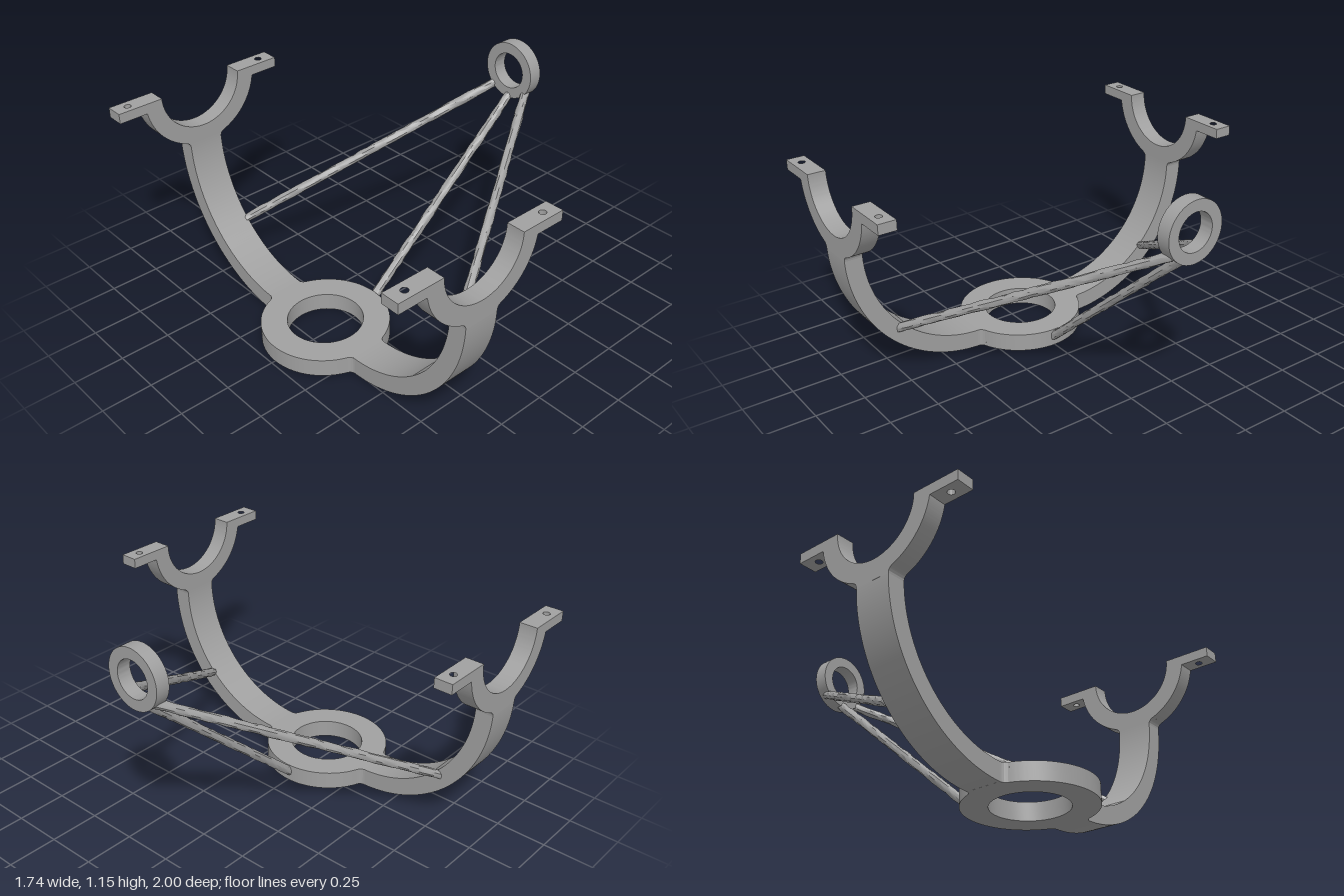
import * as THREE from 'three';
import { toCreasedNormals } from 'three/addons/utils/BufferGeometryUtils.js';

const metal = new THREE.MeshStandardMaterial({ color: 0xa0a0a0 });
metal.name = 'grey metal';

const R = 0.31;                     // outer radius shared by base ring and saddles
const HALF = 0.09;                  // half width of an arm, also the wall thickness
const FILLET = Math.acos(0.115 / R); // where the ring begins to blend into an arm

function extrude(shape, depth) {
  const g = new THREE.ExtrudeGeometry(shape, { depth, bevelEnabled: false, curveSegments: 40 });
  return toCreasedNormals(g, 0.5);
}

function addMesh(parent, name, geometry) {
  const mesh = new THREE.Mesh(geometry, metal);
  mesh.name = name;
  parent.add(mesh);
  return mesh;
}

function circleHole(x, y, r) {
  return new THREE.Path().absarc(x, y, r, 0, Math.PI * 2, true);
}

// Flat ring with small fillets towards both arms
function baseRing() {
  const s = new THREE.Shape();
  s.absarc(0, 0, R, -FILLET, FILLET, false);
  s.quadraticCurveTo(HALF, 0.297, HALF, 0.32);
  s.lineTo(-HALF, 0.32);
  s.quadraticCurveTo(-HALF, 0.297, -0.115, 0.288);
  s.absarc(0, 0, R, Math.PI - FILLET, Math.PI + FILLET, false);
  s.quadraticCurveTo(-HALF, -0.297, -HALF, -0.32);
  s.lineTo(HALF, -0.32);
  s.quadraticCurveTo(HALF, -0.297, 0.115, -0.288);
  s.holes.push(circleHole(0, 0, 0.183));
  return extrude(s, 0.09).rotateX(-Math.PI / 2);
}

// Quarter-circle arm, drawn in z and y, extruded along x
function curvedArm() {
  const s = new THREE.Shape();
  s.moveTo(0.29, 0);
  s.absarc(0.3, 0.7, 0.7, -Math.PI / 2, 0, false);
  s.lineTo(1, 0.705);
  s.lineTo(0.91, 0.705);
  s.absarc(0.3, 0.7, 0.61, 0, -Math.PI / 2, true);
  s.lineTo(0.29, 0.09);
  return extrude(s, HALF * 2).rotateY(-Math.PI / 2).translate(HALF, 0, 0);
}

// Half-ring saddle with a filleted foot
function saddle() {
  const s = new THREE.Shape();
  s.absarc(0, 0, R, 0, -FILLET, true);
  s.quadraticCurveTo(HALF, -0.297, HALF, -0.32);
  s.lineTo(-HALF, -0.32);
  s.quadraticCurveTo(-HALF, -0.297, -0.115, -0.288);
  s.absarc(0, 0, R, FILLET - Math.PI, -Math.PI, true);
  s.lineTo(-0.22, 0);
  s.absarc(0, 0, 0.22, Math.PI, Math.PI * 2, false);
  return extrude(s, 0.09).translate(0, 1, 0.91);
}

// Mounting ear with a vertical bolt hole
function ear(side) {
  const s = new THREE.Shape();
  s.moveTo(side * 0.28, -0.045);
  s.lineTo(side * 0.453, -0.045);
  s.lineTo(side * 0.453, 0.045);
  s.lineTo(side * 0.28, 0.045);
  s.holes.push(circleHole(side * 0.38, 0, 0.017));
  return extrude(s, 0.05).rotateX(-Math.PI / 2).translate(0, 0.95, 0.955);
}

// Rough, slightly lumpy rod between two points
function strut(from, to, seed) {
  const random = () => {
    seed = (seed * 16807) % 2147483647;
    return seed / 2147483647;
  };
  const a = new THREE.Vector3(...from), b = new THREE.Vector3(...to);
  const sides = 10, rows = 36;
  const g = new THREE.CylinderGeometry(0.022, 0.022, a.distanceTo(b), sides, rows);
  const pos = g.attributes.position;
  for (let row = 0; row <= rows; row++) {
    let first = 1;
    for (let i = 0; i <= sides; i++) {
      let k = 0.9 + random() * 0.22;
      if (i === 0) first = k;
      if (i === sides) k = first; // keep the seam closed
      const v = row * (sides + 1) + i;
      pos.setX(v, pos.getX(v) * k);
      pos.setZ(v, pos.getZ(v) * k);
    }
  }
  const dir = b.clone().sub(a).normalize();
  g.applyQuaternion(new THREE.Quaternion().setFromUnitVectors(new THREE.Vector3(0, 1, 0), dir));
  const mid = a.add(b).multiplyScalar(0.5);
  g.translate(mid.x, mid.y, mid.z);
  return toCreasedNormals(g, 0.6);
}

export function createModel() {
  const model = new THREE.Group();
  model.name = 'cradleBracket';

  // Cradle frame: base ring and two mirrored arms
  const frame = new THREE.Group();
  frame.name = 'cradleFrame';
  frame.position.x = -0.42;
  model.add(frame);
  addMesh(frame, 'baseRing', baseRing());
  for (const name of ['front', 'back']) {
    const arm = new THREE.Group();
    arm.name = name + 'Arm';
    if (name === 'back') arm.rotation.y = Math.PI;
    addMesh(arm, 'curvedArm', curvedArm());
    addMesh(arm, 'saddle', saddle());
    for (const side of [-1, 1]) addMesh(arm, 'mountingEar', ear(side));
    frame.add(arm);
  }

  // Raised ring facing sideways
  const ring = new THREE.Shape().absarc(0, 0, 0.145, 0, Math.PI * 2, false);
  ring.holes.push(circleHole(0, 0, 0.091));
  addMesh(model, 'sideRing', extrude(ring, 0.07).rotateY(Math.PI / 2)).position.set(0.8, 1.002, 0);

  // Struts carrying the side ring
  addMesh(model, 'centreStrut', strut([-0.135, 0.035, 0], [0.835, 0.885, 0], 11));
  for (const side of [-1, 1]) {
    addMesh(model, 'sideStrut', strut([-0.35, 0.248, side * 0.755], [0.835, 0.908, side * 0.09], 40 + side));
  }
  return model;
}
